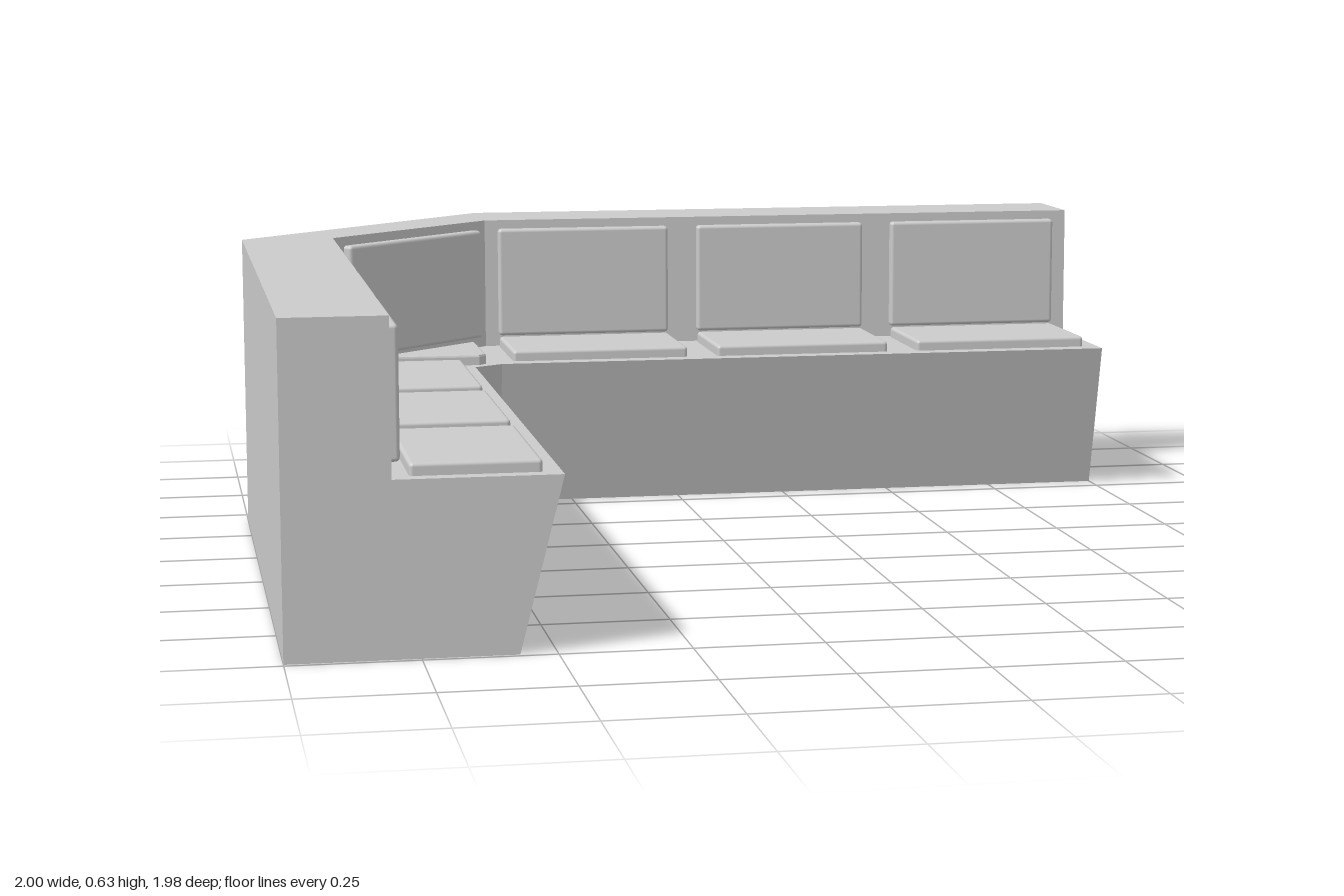
import * as THREE from 'three';
import { RoundedBoxGeometry } from 'three/addons/geometries/RoundedBoxGeometry.js';

const material = new THREE.MeshStandardMaterial({ color: 0xcccccc });
const flat = new THREE.MeshStandardMaterial({ color: 0xcccccc, flatShading: true });

// Bench cross-section: distance from the outer back wall, height
const profile = [[0, 0], [0.43, 0], [0.515, 0.332], [0.2, 0.332], [0.2, 0.63], [0, 0.63]];

// Sweep the cross-section along the left run, the cut corner and the back run
function benchBody() {
  const stations = [
    ([d, y]) => [-1 + d, y, 0.99],
    ([d, y]) => [-1 + d, y, -0.435],
    ([d, y]) => [-0.42, y, -0.99 + d],
    ([d, y]) => [1, y, -0.99 + d],
  ];
  const rings = stations.map((place) => profile.map(place));
  const n = profile.length;
  const pos = [];
  const tri = (...corners) => corners.forEach((p) => pos.push(...p));
  for (let s = 0; s < rings.length - 1; s++) {
    for (let i = 0; i < n; i++) {
      const j = (i + 1) % n;
      tri(rings[s][i], rings[s + 1][i], rings[s][j]);
      tri(rings[s][j], rings[s + 1][i], rings[s + 1][j]);
    }
  }
  // End caps
  const outline = profile.map(([d, y]) => new THREE.Vector2(d, y));
  const last = rings[rings.length - 1];
  for (const [a, b, c] of THREE.ShapeUtils.triangulateShape(outline, [])) {
    tri(rings[0][a], rings[0][b], rings[0][c]);
    tri(last[a], last[c], last[b]);
  }
  const geometry = new THREE.BufferGeometry();
  geometry.setAttribute('position', new THREE.Float32BufferAttribute(pos, 3));
  geometry.computeVertexNormals();
  return geometry;
}

export function createModel() {
  const group = new THREE.Group();
  const add = (name, geometry, x, y, z, mat = material) => {
    const mesh = new THREE.Mesh(geometry, mat);
    mesh.name = name;
    mesh.position.set(x, y, z);
    group.add(mesh);
    return mesh;
  };
  const pad = (w, h, d) => new RoundedBoxGeometry(w, h, d, 2, 0.008);

  add('benchBody', benchBody(), 0, 0, 0, flat);

  // Three seat and back cushions per run; the left run mirrors the back run
  for (let i = 0; i < 3; i++) {
    const t = -0.187 + i * 0.475;
    add('backRunSeatCushion', pad(0.405, 0.04, 0.262), t, 0.336, -0.646);
    add('backRunBackCushion', pad(0.405, 0.252, 0.04), t, 0.484, -0.791);
    add('leftRunSeatCushion', pad(0.245, 0.04, 0.405), -0.643, 0.336, t - 0.008);
    add('leftRunBackCushion', pad(0.04, 0.252, 0.405), -0.801, 0.484, t - 0.008);
  }

  // Corner back cushion, flat against the slanted wall
  const corner = add('cornerBackCushion', pad(0.45, 0.252, 0.04), -0.609, 0.484, -0.611);
  corner.rotation.y = Math.atan2(0.355, 0.38);

  // Corner seat cushion: a triangle with a clipped inner tip
  const shape = new THREE.Shape(
    [[-0.70, 0.474], [-0.475, 0.474], [-0.461, 0.49], [-0.461, 0.69]]
      .map(([x, y]) => new THREE.Vector2(x, y)));
  const wedge = new THREE.ExtrudeGeometry(shape, {
    depth: 0.03, bevelThickness: 0.006, bevelSize: 0.006, bevelSegments: 2,
  });
  wedge.rotateX(-Math.PI / 2);
  add('cornerSeatCushion', wedge, 0, 0.32, 0);

  return group;
}
